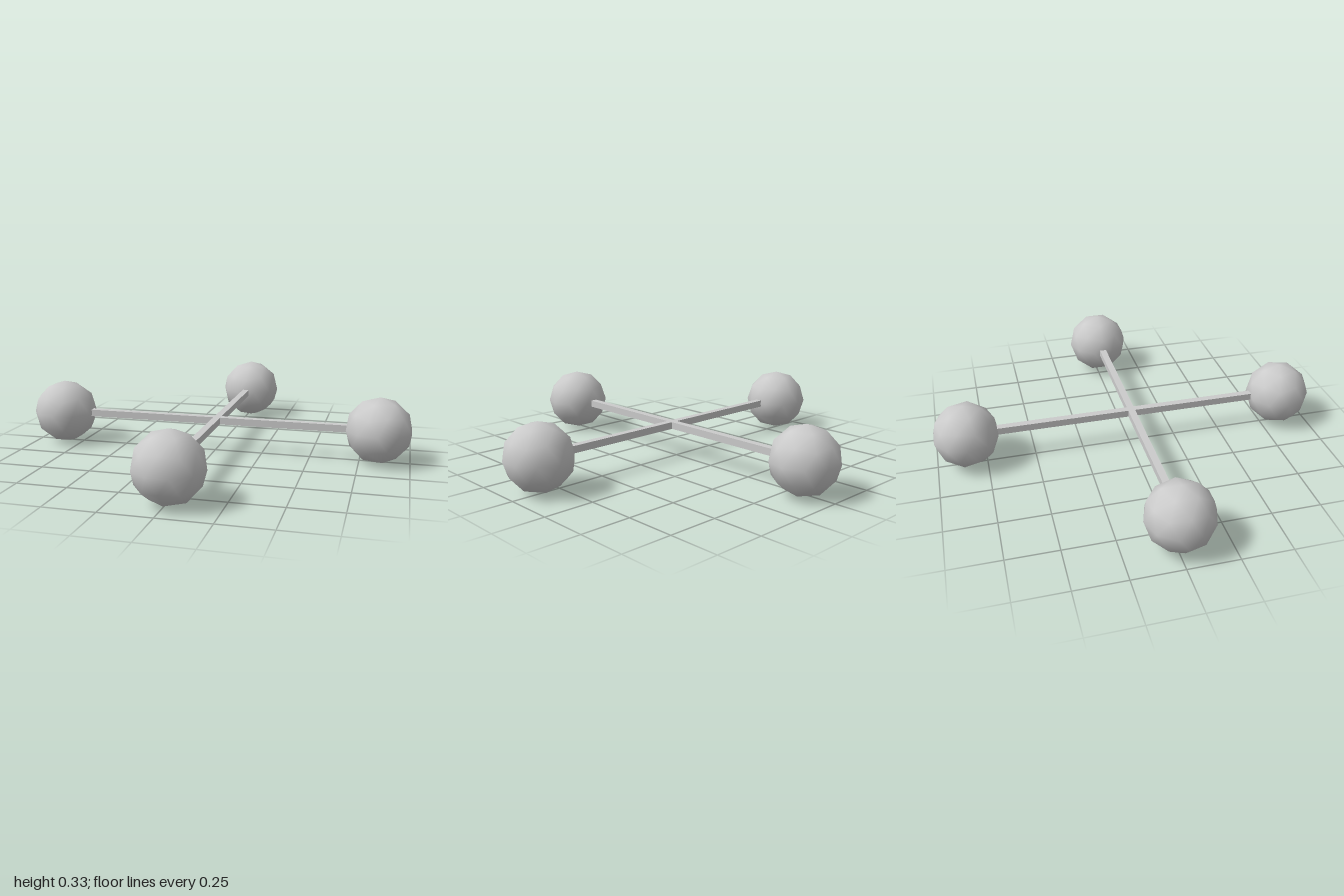
import * as THREE from 'three';

const RADIUS = 0.167;   // ball radius
const HEIGHT = 0.17;    // height of the cross
const REACH = 0.841;    // distance of ball centres along each arm
const SHIFT = 0.016;    // the bars cross slightly off centre
const BAR = 0.036;      // bar thickness

export function createModel() {
  const model = new THREE.Group();
  model.name = 'crossWithBalls';
  const material = new THREE.MeshStandardMaterial({ color: 0xcccccc });

  // low-poly ball standing on a corner, smooth shaded
  const ballGeometry = new THREE.IcosahedronGeometry(RADIUS, 1);
  ballGeometry.rotateZ(-Math.atan(2 / (1 + Math.sqrt(5))));
  const barGeometry = new THREE.BoxGeometry(1.4, BAR, BAR);

  // one arm: a bar with a ball on each end
  function makeArm(name) {
    const arm = new THREE.Group();
    arm.name = name;
    const bar = new THREE.Mesh(barGeometry, material);
    bar.name = 'bar';
    arm.add(bar);
    for (const side of [-1, 1]) {
      const ball = new THREE.Mesh(ballGeometry, material);
      ball.name = 'ball';
      ball.position.x = side * REACH;
      ball.rotation.y = side > 0 ? Math.PI : 0;
      arm.add(ball);
    }
    model.add(arm);
    return arm;
  }

  makeArm('sideArm').position.set(0, HEIGHT, SHIFT);

  const frontArm = makeArm('frontArm');
  frontArm.position.set(SHIFT, HEIGHT, 0);
  frontArm.rotation.y = Math.PI / 2;

  return model;
}
